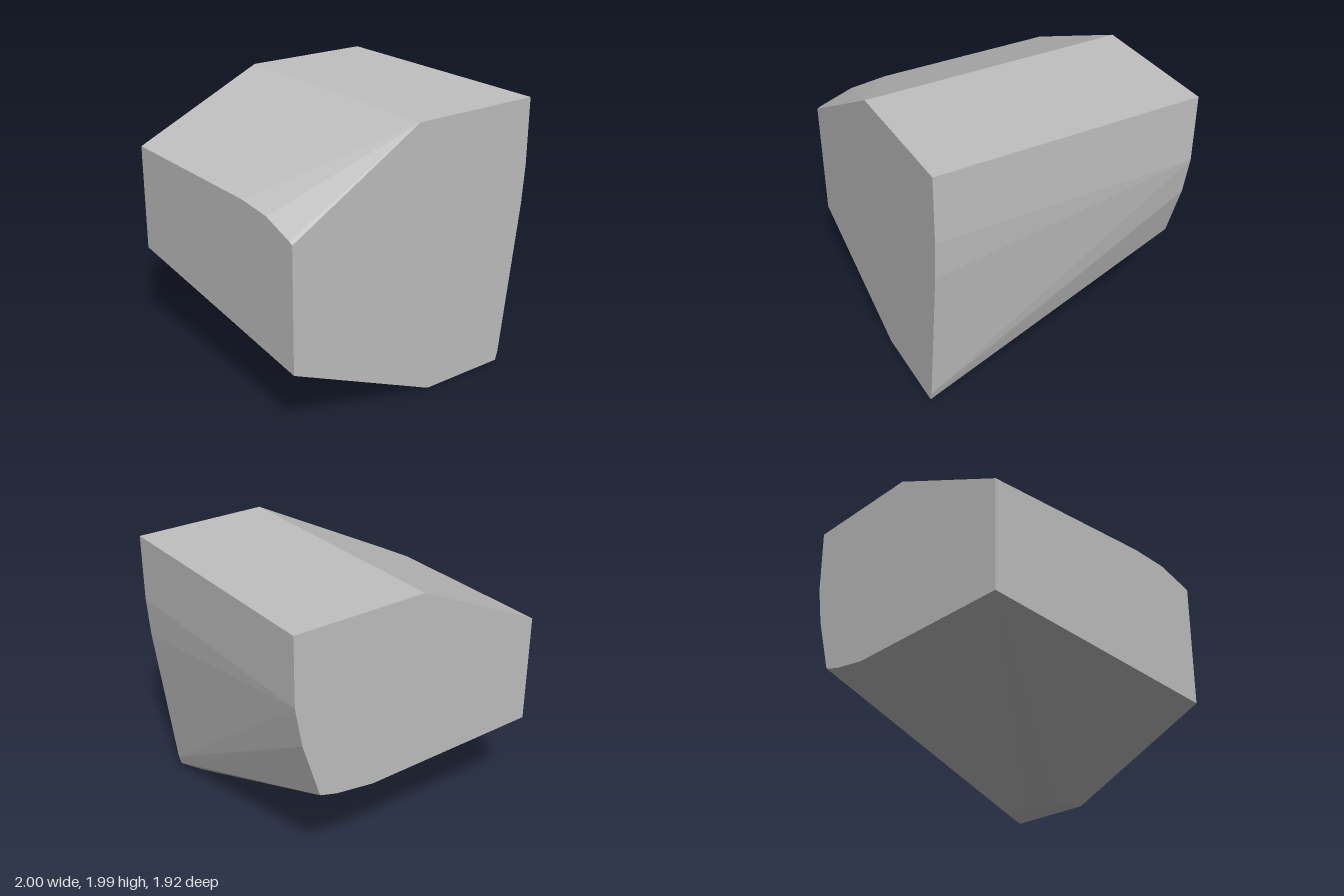
import * as THREE from 'three';
import { ConvexGeometry } from 'three/addons/geometries/ConvexGeometry.js';

// Faceted convex block, described by its corner outlines
export function createModel() {
  const group = new THREE.Group();
  group.name = 'facetedBlock';
  const stone = new THREE.MeshStandardMaterial({ color: 0xc0c0c0 });
  stone.name = 'light grey';

  const depth = 0.96;
  // Front and back outlines as [x, y]
  const front = [[-1, 1.4], [0, 1.99], [1, 1.99], [1, 1.5], [0.98, 1.21],
    [0.84, 0.07], [0.82, 0], [0.15, 0], [-1, 0.5]];
  const back = [[-1, 1.525], [0, 1.99], [1, 1.99], [1, 1.5], [0.95, 1.21],
    [0.82, 0.79], [0.69, 0.75], [0.39, 0.705], [-1, 0.72]];
  // Rear rim of the small foot, as [x, z] on the ground
  const foot = [[0.21, 0.74], [0.39, 0.63], [0.63, 0.72], [0.73, 0.78]];
  // Bevelled upper corner on the -x wall, as [y, z]
  const bevel = [[1.527, 0.4], [1.5, 0.68], [1.415, 0.93]];

  const corners = [
    ...front.map(([x, y]) => new THREE.Vector3(x, y, depth)),
    ...back.map(([x, y]) => new THREE.Vector3(x, y, -depth)),
    ...foot.map(([x, z]) => new THREE.Vector3(x, 0, z)),
    ...bevel.map(([y, z]) => new THREE.Vector3(-1, y, z)),
  ];

  const block = new THREE.Mesh(new ConvexGeometry(corners), stone);
  block.name = 'block';
  group.add(block);
  return group;
}
